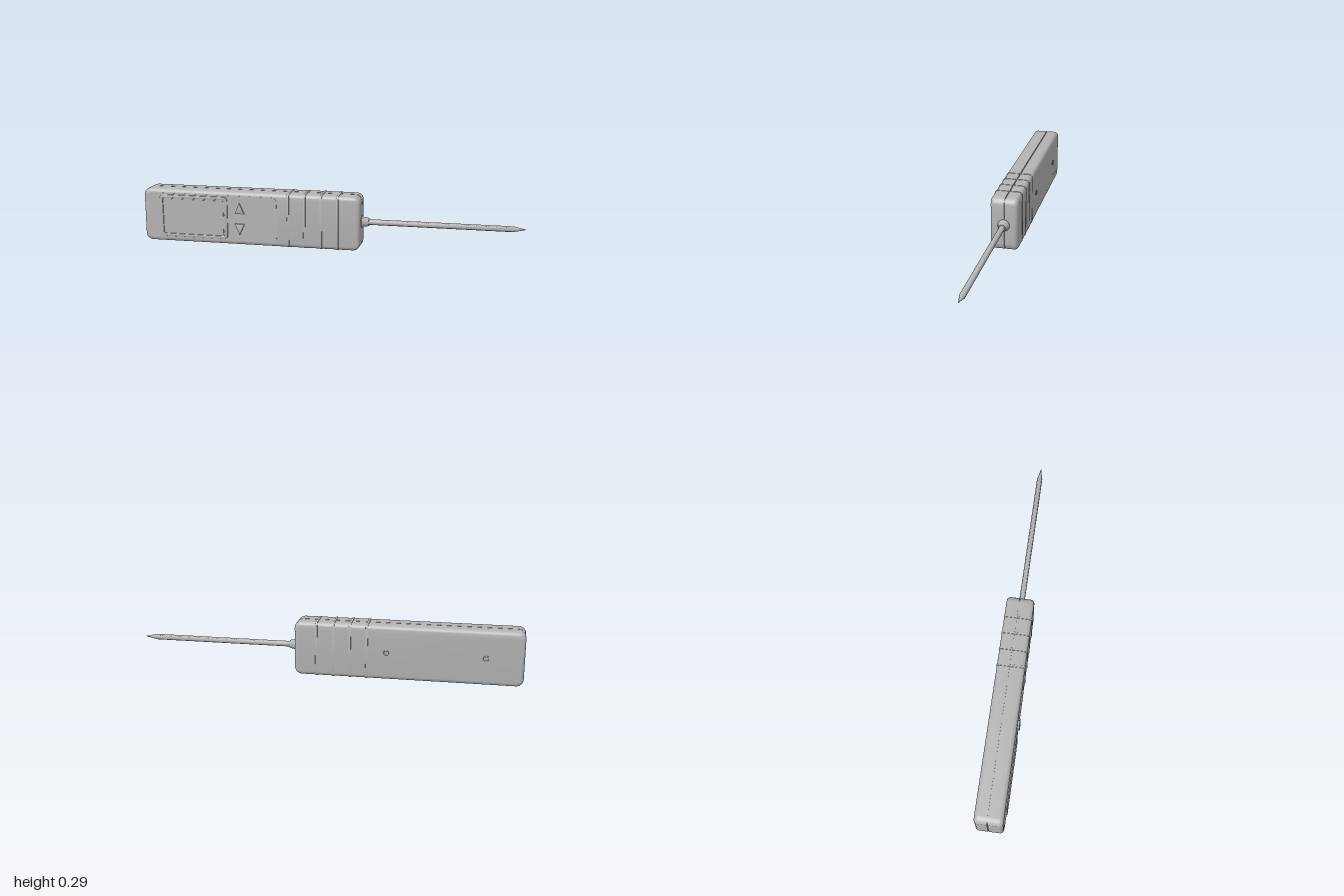
import * as THREE from 'three';
import { toCreasedNormals } from 'three/addons/utils/BufferGeometryUtils.js';

const CY = 0.144, CZ = -0.0035; // body mid height and mid depth

function roundedPath(Type, cx, cy, w, h, r) {
  const p = new Type(), x = w / 2, y = h / 2;
  p.absarc(cx + x - r, cy - y + r, r, -Math.PI / 2, 0, false);
  p.absarc(cx + x - r, cy + y - r, r, 0, Math.PI / 2, false);
  p.absarc(cx - x + r, cy + y - r, r, Math.PI / 2, Math.PI, false);
  p.absarc(cx - x + r, cy - y + r, r, Math.PI, Math.PI * 1.5, false);
  p.closePath();
  return p;
}

function plate(shape, depth, bevel = 0) {
  const g = new THREE.ExtrudeGeometry(shape, {
    depth: depth - bevel, bevelEnabled: bevel > 0, bevelSize: bevel, bevelThickness: bevel,
    bevelOffset: -bevel, bevelSegments: 2, curveSegments: 6,
  });
  return toCreasedNormals(g, 0.6);
}

// Stacks rounded-rectangle loops along z; profile entries are [inset, z]
function shell(cx, cy, w, h, r, profile) {
  const pos = [], index = [], seg = 7, n = seg * 4;
  for (const [inset, z] of profile) {
    const rad = r - inset;
    for (let c = 0; c < 4; c++) {
      const sx = c === 0 || c === 3 ? 1 : -1, sy = c < 2 ? 1 : -1;
      for (let i = 0; i < seg; i++) {
        const a = (c + i / (seg - 1)) * Math.PI / 2;
        pos.push(cx + sx * (w / 2 - r) + rad * Math.cos(a), cy + sy * (h / 2 - r) + rad * Math.sin(a), z);
      }
    }
  }
  for (let k = 0; k < profile.length - 1; k++) {
    for (let i = 0; i < n; i++) {
      const a = k * n + i, b = k * n + (i + 1) % n;
      index.push(a, b, b + n, a, b + n, a + n);
    }
  }
  const last = (profile.length - 1) * n;
  for (let i = 1; i < n - 1; i++) index.push(0, i + 1, i, last, last + i, last + i + 1);
  const g = new THREE.BufferGeometry();
  g.setAttribute('position', new THREE.Float32BufferAttribute(pos, 3));
  g.setIndex(index);
  return toCreasedNormals(g, 0.6);
}

export function createModel() {
  const root = new THREE.Group();
  const grey = new THREE.MeshStandardMaterial({ color: 0xb4b4b4 });
  grey.name = 'plain grey';
  const add = (name, geo, x = 0, y = 0, z = 0) => {
    const m = new THREE.Mesh(geo, grey);
    m.name = name;
    m.position.set(x, y, z);
    root.add(m);
    return m;
  };

  // Casing with rounded edges and a parting groove around the middle
  const back = -0.075, front = 0.067, edge = 0.02, profile = [];
  for (let i = 0; i <= 5; i++) {
    const a = i / 5 * Math.PI / 2;
    profile.push([edge * (1 - Math.sin(a)), back + edge * (1 - Math.cos(a))]);
  }
  profile.push([0, -0.010], [0.005, -0.010], [0.005, -0.006], [0, -0.006]);
  for (let i = 5; i >= 0; i--) {
    const a = i / 5 * Math.PI / 2;
    profile.push([edge * (1 - Math.sin(a)), front - edge * (1 - Math.cos(a))]);
  }
  add('casing', shell(-0.4175, CY, 1.165, 0.283, 0.036, profile));

  // Raised bands around the grip
  for (const x of [-0.21, -0.123, -0.037, 0.05]) {
    const band = plate(roundedPath(THREE.Shape, 0, 0, 0.146, 0.288, 0.022), 0.01, 0.002);
    add('gripBand', band, x - 0.005, CY, CZ).rotation.y = Math.PI / 2;
  }

  // Face panel, screen bezel and screen
  add('facePanel', plate(roundedPath(THREE.Shape, -0.622, CY, 0.70, 0.242, 0.025), 0.0025), 0, 0, 0.0655);
  const bezel = roundedPath(THREE.Shape, -0.7225, CY, 0.372, 0.226, 0.02);
  bezel.holes.push(roundedPath(THREE.Path, -0.7225, CY, 0.338, 0.194, 0.008));
  add('screenBezel', plate(bezel, 0.006, 0.002), 0, 0, 0.067);
  add('screen', plate(roundedPath(THREE.Shape, -0.7225, CY, 0.326, 0.182, 0.005), 0.003), 0, 0, 0.067);

  // Up and down arrow buttons
  for (const s of [1, -1]) {
    const tri = new THREE.Shape([
      new THREE.Vector2(-0.026, -0.029), new THREE.Vector2(0.026, -0.029), new THREE.Vector2(0, 0.029),
    ]);
    const button = add(s > 0 ? 'upButton' : 'downButton', plate(tri, 0.009, 0.002), -0.47, CY + s * 0.056, 0.068);
    if (s < 0) button.rotation.z = Math.PI;
  }

  // Screws in the back, each a rim around a slotted head
  for (const x of [-0.31, -0.81]) {
    add('screwRim', new THREE.TorusGeometry(0.013, 0.002, 6, 24), x, CY, back);
    for (const a of [0, Math.PI / 2]) {
      add('screwCross', new THREE.BoxGeometry(0.016, 0.004, 0.003), x, CY, back).rotation.z = a;
    }
  }

  // Turned collar, probe shaft and pointed tip, lathed then laid along x
  const turn = (name, pts) => {
    const g = new THREE.LatheGeometry(pts.map(([r, x]) => new THREE.Vector2(r, x)), 28);
    add(name, toCreasedNormals(g, 0.6), 0, CY, CZ).rotation.z = -Math.PI / 2;
  };
  turn('probeCollar', [[0, 0.15], [0.031, 0.15], [0.031, 0.168], [0.026, 0.174], [0.022, 0.198], [0.019, 0.203], [0, 0.203]]);
  turn('probeShaft', [[0, 0.19], [0.0145, 0.19], [0.0145, 0.935], [0.0125, 0.94], [0, 1.0]]);

  return root;
}
